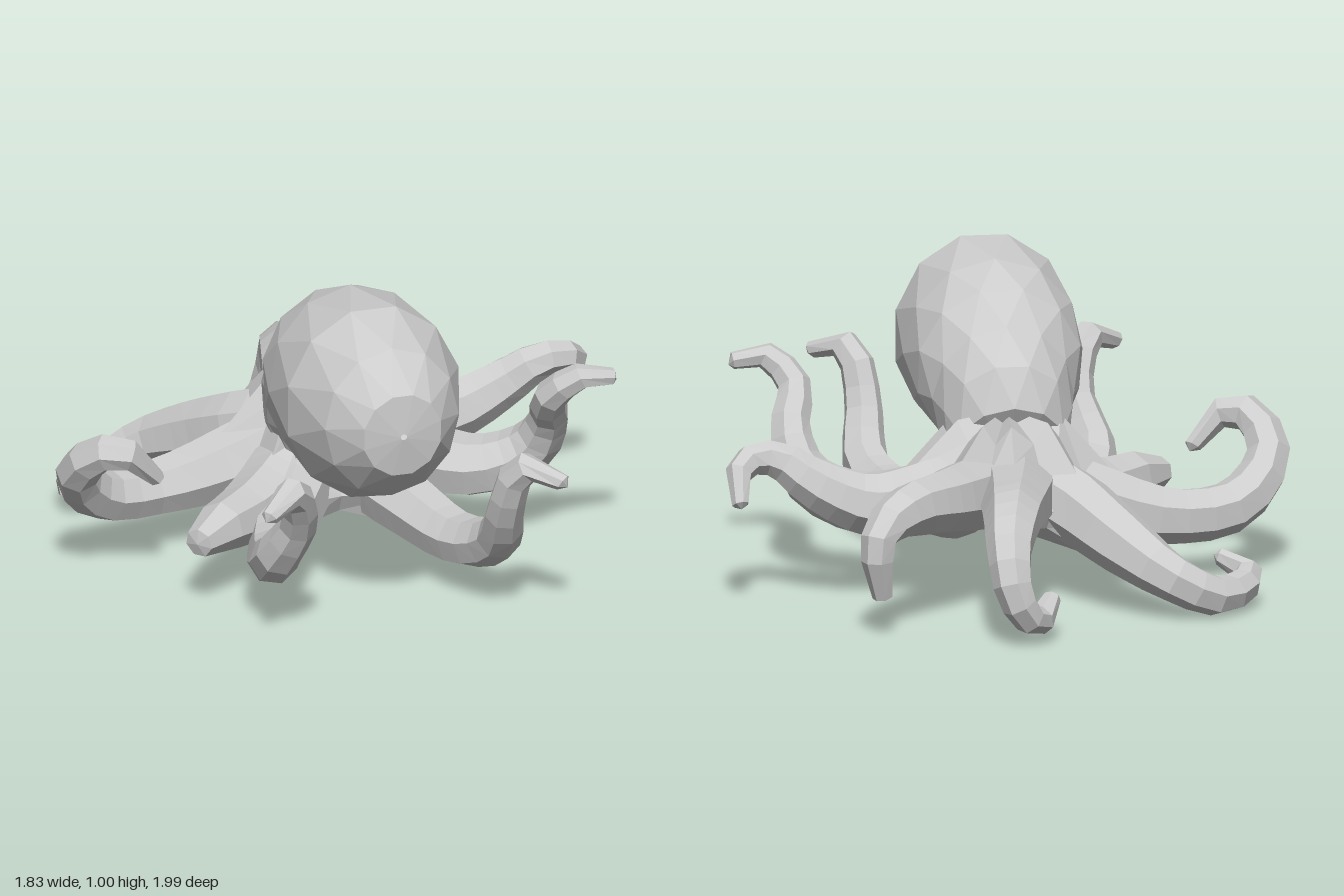
import * as THREE from 'three';

const material = new THREE.MeshStandardMaterial({ color: 0xcccccc, flatShading: true });

// Mantle and head rings, front to back: top y, top z, bottom y, bottom z, half width
const BODY = [
  [0.71, 0.83, 0.69, 0.83, 0.01],
  [0.84, 0.82, 0.56, 0.81, 0.13],
  [0.95, 0.7, 0.45, 0.7, 0.22],
  [1.015, 0.5, 0.36, 0.5, 0.29],
  [0.985, 0.25, 0.365, 0.36, 0.285],
  [0.925, 0.1, 0.37, 0.22, 0.265],
  [0.82, 0, 0.34, 0.15, 0.225],
  [0.73, -0.14, 0.28, 0.12, 0.21],
  [0.6, -0.19, 0.24, 0.08, 0.19],
  [0.44, -0.1, 0.42, -0.08, 0.01],
];

// Arm paths from root to tip: x, y, z, radius
const ARMS = {
  backArm: [[0, 0.35, -0.3, 0.13], [0.03, 0.36, -0.5, 0.11], [0.07, 0.36, -0.72, 0.09], [0.1, 0.29, -0.88, 0.07],
    [0.09, 0.17, -0.94, 0.06], [0.03, 0.08, -0.91, 0.05], [-0.03, 0.09, -0.83, 0.04], [-0.05, 0.14, -0.78, 0.025]],
  backLeftArm: [[0.15, 0.36, -0.32, 0.12], [0.27, 0.38, -0.5, 0.1], [0.4, 0.39, -0.65, 0.08],
    [0.49, 0.34, -0.74, 0.06], [0.5, 0.22, -0.75, 0.05], [0.48, 0.12, -0.73, 0.03]],
  leftArm: [[0.25, 0.33, -0.2, 0.12], [0.45, 0.31, -0.21, 0.1], [0.62, 0.38, -0.21, 0.08], [0.74, 0.46, -0.18, 0.06],
    [0.83, 0.46, -0.19, 0.05], [0.88, 0.41, -0.25, 0.04], [0.87, 0.33, -0.3, 0.025]],
  frontLeftSideArm: [[0.25, 0.28, 0, 0.12], [0.45, 0.25, 0.1, 0.1], [0.6, 0.32, 0.17, 0.085], [0.64, 0.45, 0.25, 0.065],
    [0.61, 0.57, 0.36, 0.055], [0.68, 0.65, 0.42, 0.045], [0.76, 0.67, 0.43, 0.035], [0.81, 0.63, 0.42, 0.025]],
  frontLeftArm: [[0.12, 0.25, 0.08, 0.12], [0.2, 0.2, 0.28, 0.1], [0.28, 0.18, 0.5, 0.085], [0.34, 0.25, 0.68, 0.075],
    [0.33, 0.4, 0.8, 0.06], [0.35, 0.54, 0.86, 0.055], [0.41, 0.59, 0.92, 0.045], [0.48, 0.53, 0.98, 0.025]],
  frontRightArm: [[-0.13, 0.26, 0.08, 0.12], [-0.24, 0.21, 0.28, 0.1], [-0.34, 0.2, 0.5, 0.085], [-0.38, 0.27, 0.66, 0.075],
    [-0.34, 0.42, 0.77, 0.06], [-0.37, 0.55, 0.85, 0.055], [-0.43, 0.59, 0.92, 0.045], [-0.51, 0.53, 0.98, 0.025]],
  frontRightSideArm: [[-0.18, 0.27, 0.06, 0.12], [-0.34, 0.24, 0.22, 0.1], [-0.47, 0.25, 0.34, 0.08], [-0.57, 0.24, 0.43, 0.045]],
  rightArm: [[-0.28, 0.28, -0.1, 0.12], [-0.53, 0.22, -0.1, 0.09], [-0.74, 0.24, -0.04, 0.085], [-0.855, 0.37, 0.07, 0.07],
    [-0.8, 0.48, 0.18, 0.06], [-0.69, 0.46, 0.22, 0.045], [-0.62, 0.36, 0.18, 0.025]],
  backRightArm: [[-0.18, 0.31, -0.28, 0.12], [-0.32, 0.22, -0.48, 0.1], [-0.45, 0.14, -0.61, 0.075], [-0.6, 0.07, -0.59, 0.065],
    [-0.71, 0.09, -0.48, 0.05], [-0.71, 0.12, -0.39, 0.04], [-0.62, 0.15, -0.36, 0.025]],
};

// Closed skin over rings of [x, y, z] points, diagonals alternating by ring
function createSkin(rings) {
  const sides = rings[0].length;
  const index = [];
  for (let i = 0; i < rings.length - 1; i++) {
    for (let j = 0; j < sides; j++) {
      const a = i * sides + j, b = i * sides + ((j + 1) % sides);
      const c = a + sides, d = b + sides;
      if (i % 2) index.push(a, b, d, a, d, c);
      else index.push(a, b, c, b, d, c);
    }
  }
  const geometry = new THREE.BufferGeometry();
  geometry.setAttribute('position', new THREE.Float32BufferAttribute(rings.flat(2), 3));
  geometry.setIndex(index);
  geometry.computeVertexNormals();
  return geometry;
}

// Tilted ovals, every other one turned half a step
function createBody(sides) {
  return createSkin(BODY.map(([ty, tz, by, bz, rx], i) => Array.from({ length: sides }, (_, j) => {
    const a = ((j + (i % 2) / 2) / sides) * Math.PI * 2;
    const c = Math.cos(a) / 2;
    return [rx * Math.sin(a) - 0.012, (ty + by) / 2 + (ty - by) * c, (tz + bz) / 2 + (tz - bz) * c];
  })));
}

// Star-shaped web: a ridge along every arm root, a valley between neighbours
function createWeb() {
  const hubZ = -0.1;
  const spokes = Object.values(ARMS).map(([p, q]) => {
    const [x, y, z, r] = p.map((v, k) => THREE.MathUtils.lerp(v, q[k], 0.6));
    return { x, y, z: z - hubZ, h: r * 0.9, neck: 0.56 };
  }).sort((a, b) => Math.atan2(a.x, a.z) - Math.atan2(b.x, b.z));
  const outline = spokes.flatMap((s, i) => {
    const n = spokes[(i + 1) % spokes.length];
    const valley = { x: (s.x + n.x) * 0.43, y: (s.y + n.y) / 2, z: (s.z + n.z) * 0.43, h: 0.06, neck: 0.5 };
    return [s, valley];
  });
  const level = (scale, side) => outline.map((p) => [p.x * scale, p.y + p.h * side, p.z * scale + hubZ]);
  const neck = outline.map((p) => {
    const k = 0.17 / Math.hypot(p.x, p.z);
    return [p.x * k, p.neck, p.z * k + hubZ];
  });
  const center = (y) => outline.map(() => [0, y, hubZ]);
  return createSkin([center(0.2), level(0.88, -1), level(1, 0), level(0.85, 1), neck, center(0.58)]);
}

// Tube narrowed along its path, with a blunt closed tip
function createArm(points) {
  const [x, , z, r] = points[0];
  const stations = [[x * 0.3, 0.36, -0.1 + (z + 0.1) * 0.3, r], ...points];
  const curve = new THREE.CatmullRomCurve3(stations.map((p) => new THREE.Vector3(p[0], p[1], p[2])));
  const segments = stations.length * 2;
  const sides = 7;
  const geometry = new THREE.TubeGeometry(curve, segments, 1, sides);
  const position = geometry.attributes.position;
  const v = new THREE.Vector3();
  for (let i = 0; i <= segments; i++) {
    const center = curve.getPointAt(i / segments);
    const u = i === segments - 1 ? 0.985 : i / segments;
    const target = curve.getPointAt(u);
    const t = curve.getUtoTmapping(u) * (stations.length - 1);
    const k = Math.min(Math.floor(t), stations.length - 2);
    const radius = i === segments ? 0.001 : THREE.MathUtils.lerp(stations[k][3], stations[k + 1][3], t - k);
    for (let j = 0; j <= sides; j++) {
      const n = i * (sides + 1) + j;
      v.fromBufferAttribute(position, n).sub(center).multiplyScalar(radius).add(target);
      position.setXYZ(n, v.x, v.y, v.z);
    }
  }
  geometry.computeVertexNormals();
  return geometry;
}

export function createModel() {
  const group = new THREE.Group();
  const add = (name, geometry) => {
    const mesh = new THREE.Mesh(geometry, material);
    mesh.name = name;
    group.add(mesh);
  };
  add('mantleAndHead', createBody(12));
  add('web', createWeb());
  for (const [name, points] of Object.entries(ARMS)) add(name, createArm(points));
  return group;
}
